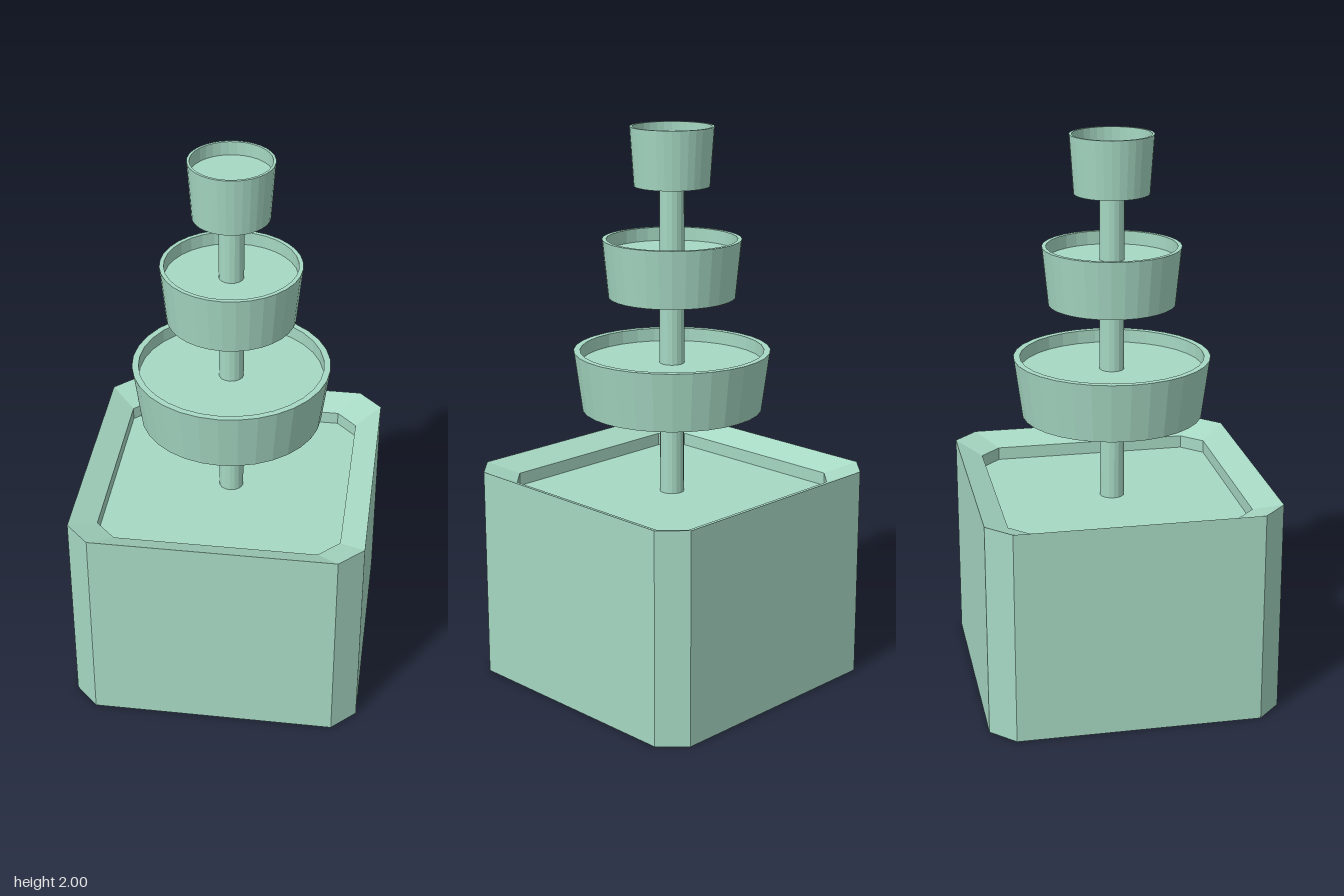
import * as THREE from 'three';

// Eight corners of a square with cut corners; h = half width, c = where the cut begins
function octagon(h, c, y) {
  return [[c, h], [h, c], [h, -c], [c, -h], [-c, -h], [-h, -c], [-h, c], [-c, h]]
    .map(([x, z]) => [x, y, z]);
}

// Skin a stack of octagonal rings, closing both ends with fans
function skinRings(rings, yStart, yEnd) {
  const pos = [];
  const tri = (...corners) => corners.forEach((p) => pos.push(...p));
  const first = rings[0];
  const last = rings[rings.length - 1];
  for (let i = 0; i < 8; i++) {
    const j = (i + 1) % 8;
    tri([0, yStart, 0], first[j], first[i]);
    for (let k = 0; k < rings.length - 1; k++) {
      const lo = rings[k];
      const hi = rings[k + 1];
      tri(lo[i], lo[j], hi[i]);
      tri(hi[j], hi[i], lo[j]);
    }
    tri([0, yEnd, 0], last[i], last[j]);
  }
  const geo = new THREE.BufferGeometry();
  geo.setAttribute('position', new THREE.Float32BufferAttribute(pos, 3));
  geo.computeVertexNormals();
  return geo;
}

export function createModel() {
  const group = new THREE.Group();
  const mat = new THREE.MeshStandardMaterial({ color: 0xa6d8c3, flatShading: true });
  const add = (name, geo) => {
    const mesh = new THREE.Mesh(geo, mat);
    mesh.name = name;
    group.add(mesh);
    return mesh;
  };

  // Base: cut-corner block, rim sloping inward, then a step down to the floor
  const floorY = 0.685;
  add('base', skinRings([
    octagon(0.52, 0.435, 0),
    octagon(0.52, 0.435, 0.773),
    octagon(0.43, 0.357, 0.732),
    octagon(0.43, 0.357, floorY),
  ], 0, floorY));

  // Tapered bowls with a shallow recess: [name, bottom y, top y, bottom r, top r, inner r]
  const bowls = [
    ['lowerBowl', 1.0, 1.212, 0.322, 0.35, 0.327],
    ['middleBowl', 1.405, 1.61, 0.225, 0.245, 0.23],
    ['topBowl', 1.795, 2.0, 0.133, 0.147, 0.138],
  ];
  const recess = 0.048;
  let postBottom = floorY;
  for (const [name, y0, y1, r0, r1, ri] of bowls) {
    const profile = [[0, y0], [r0, y0], [r1, y1], [ri, y1], [ri, y1 - recess], [0, y1 - recess]];
    add(name, new THREE.LatheGeometry(profile.map((p) => new THREE.Vector2(...p)), 32));

    // Post section holding this bowl
    const post = add(name + 'Post', new THREE.CylinderGeometry(0.044, 0.044, y0 - postBottom, 16, 1, true));
    post.position.y = (y0 + postBottom) / 2;
    postBottom = y1 - recess;
  }

  return group;
}
